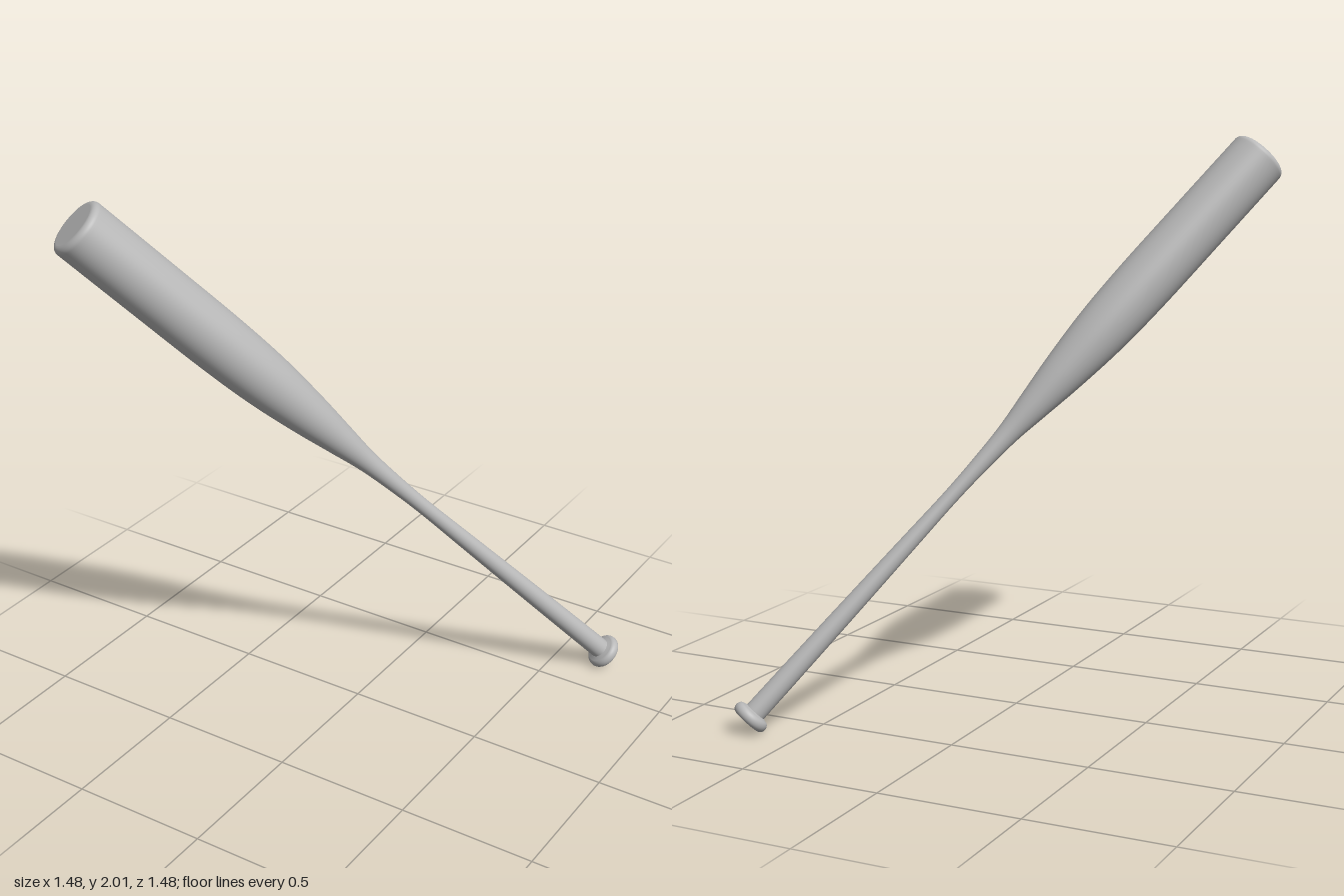
import * as THREE from 'three';

export function createModel() {
  const group = new THREE.Group();
  const grey = new THREE.MeshStandardMaterial({ color: 0xb8b8b8 });
  grey.name = 'grey';

  // the bat leans diagonally: up, to its right and forward
  const tilt = new THREE.Quaternion().setFromUnitVectors(
    new THREE.Vector3(0, 1, 0),
    new THREE.Vector3(-0.5, Math.SQRT1_2, 0.5).normalize());

  // quarter arc of a rounded rim, around (r, y)
  const arc = (r, y, ry, from, to, rr = ry) => Array.from({ length: 9 }, (_, i) => {
    const a = from + (to - from) * i / 8;
    return new THREE.Vector2(r + rr * Math.cos(a), y + ry * Math.sin(a));
  });

  function turned(name, profile) {
    const mesh = new THREE.Mesh(new THREE.LatheGeometry(profile, 64), grey);
    mesh.name = name;
    mesh.geometry.applyQuaternion(tilt);
    mesh.geometry.translate(0.69, 0.033, -0.69);
    group.add(mesh);
  }

  // handle, taper and barrel as one smooth turned shape: [radius, height]
  const side = new THREE.SplineCurve([
    [0.038, 0.02], [0.037, 0.2], [0.034, 0.5], [0.03, 0.8], [0.027, 1.02], [0.03, 1.17],
    [0.039, 1.33], [0.057, 1.47], [0.078, 1.63], [0.097, 1.83], [0.105, 2.05],
    [0.106, 2.35], [0.106, 2.66],
  ].map(([r, y]) => new THREE.Vector2(r, y))).getPoints(90);
  turned('barrelAndHandle', [
    ...side,
    ...arc(0.084, 2.668, 0.022, 0, Math.PI / 2),
  ]);

  // flat end face of the barrel
  turned('barrelEnd', [new THREE.Vector2(0.084, 2.69), new THREE.Vector2(0, 2.69)]);

  // rounded knob with a flat base
  turned('knobBase', [new THREE.Vector2(0, 0), new THREE.Vector2(0.05, 0)]);
  turned('knob', [
    ...arc(0.05, 0.02, 0.02, -Math.PI / 2, 0, 0.016),
    ...arc(0.05, 0.02, 0.02, 0, Math.PI / 2, 0.016).slice(1),
    new THREE.Vector2(0.036, 0.045),
  ]);

  return group;
}
